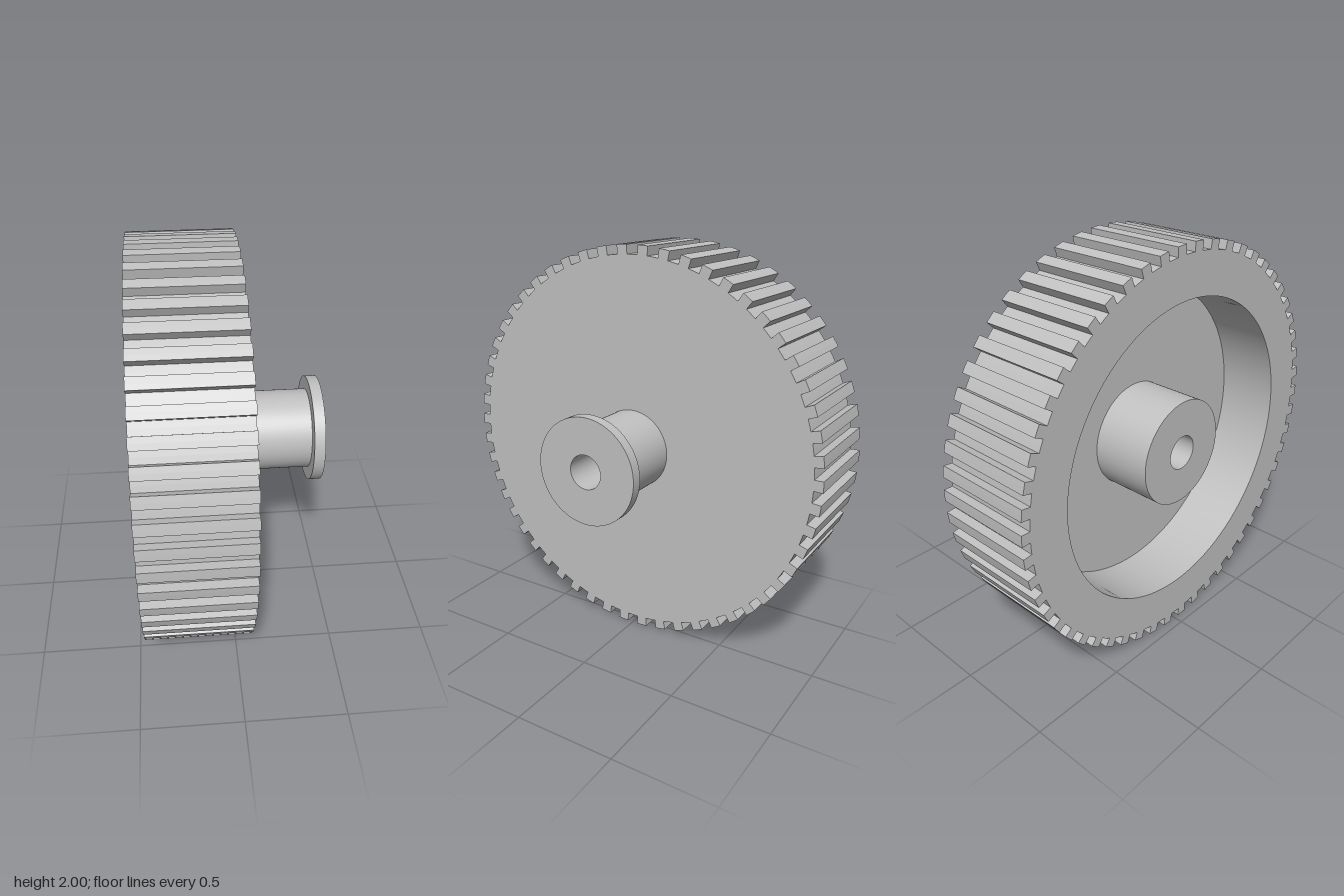
import * as THREE from 'three';

const TEETH = 54, TIP = 1, ROOT = 0.955, HALF = 0.028;
const BACK = -0.455, FRONT = 0.05, FLOOR = -0.15;
const RECESS = 0.75, BOSS = 0.265, HUB = 0.2, BORE = 0.085, FLANGE = 0.265;

// Toothed outline, counter-clockwise, with a gap at the top and bottom
function gearOutline() {
  const pitch = (Math.PI * 2) / TEETH, points = [];
  for (let i = 0; i < TEETH; i++) {
    const steps = [[-HALF, TIP], [0, TIP], [HALF, TIP], [HALF, ROOT], [pitch / 2, ROOT], [pitch - HALF, ROOT]];
    for (const [offset, r] of steps) {
      const a = i * pitch + offset;
      points.push(new THREE.Vector2(r * Math.cos(a), r * Math.sin(a)));
    }
  }
  return points;
}

// Flat toothed face with a round opening
function faceGeometry(outline, holeRadius) {
  const shape = new THREE.Shape(outline);
  shape.holes.push(new THREE.Path().absarc(0, 0, holeRadius, 0, Math.PI * 2, true));
  return new THREE.ShapeGeometry(shape, 48);
}

// Wall that follows the outline from the back to the front
function wallGeometry(outline) {
  const pos = [];
  outline.forEach((a, i) => {
    const b = outline[(i + 1) % outline.length];
    pos.push(a.x, a.y, BACK, b.x, b.y, BACK, b.x, b.y, FRONT);
    pos.push(a.x, a.y, BACK, b.x, b.y, FRONT, a.x, a.y, FRONT);
  });
  const g = new THREE.BufferGeometry();
  g.setAttribute('position', new THREE.Float32BufferAttribute(pos, 3));
  g.computeVertexNormals();
  return g;
}

export function createModel() {
  const metal = new THREE.MeshStandardMaterial({ color: 0xc0c0c0 });
  metal.name = 'light grey';
  const model = new THREE.Group();
  model.name = 'gearWheel';

  const add = (name, geometry, parent = model) => {
    const mesh = new THREE.Mesh(geometry, metal);
    mesh.name = name;
    parent.add(mesh);
  };

  // Turned part about the x axis; each [radius, x] step is its own sharp-edged band
  const turned = (name, profile) => {
    const group = new THREE.Group();
    group.name = name;
    for (let i = 0; i < profile.length - 1; i++) {
      const pair = [profile[i], profile[i + 1]].map(([r, x]) => new THREE.Vector2(r, x));
      add(`${name}Band${i + 1}`, new THREE.LatheGeometry(pair, 96).rotateZ(-Math.PI / 2), group);
    }
    model.add(group);
  };

  // Toothed rim and its two faces
  const outline = gearOutline();
  add('teeth', wallGeometry(outline).rotateY(Math.PI / 2));
  add('frontFace', faceGeometry(outline, HUB).rotateY(Math.PI / 2).translate(FRONT, 0, 0));
  add('rimFace', faceGeometry(outline, RECESS).rotateY(-Math.PI / 2).translate(BACK, 0, 0));

  // Hub, flange, bore, inner boss and the recess behind the web
  turned('hub', [[HUB, FRONT], [HUB, 0.4]]);
  turned('flange', [[HUB, 0.4], [FLANGE, 0.4], [FLANGE, 0.455], [BORE, 0.455]]);
  turned('bore', [[BORE, 0.455], [BORE, BACK]]);
  turned('boss', [[BORE, BACK], [BOSS, BACK], [BOSS, FLOOR]]);
  turned('recess', [[BOSS, FLOOR], [RECESS, FLOOR], [RECESS, BACK]]);

  model.position.y = 1;
  return model;
}
